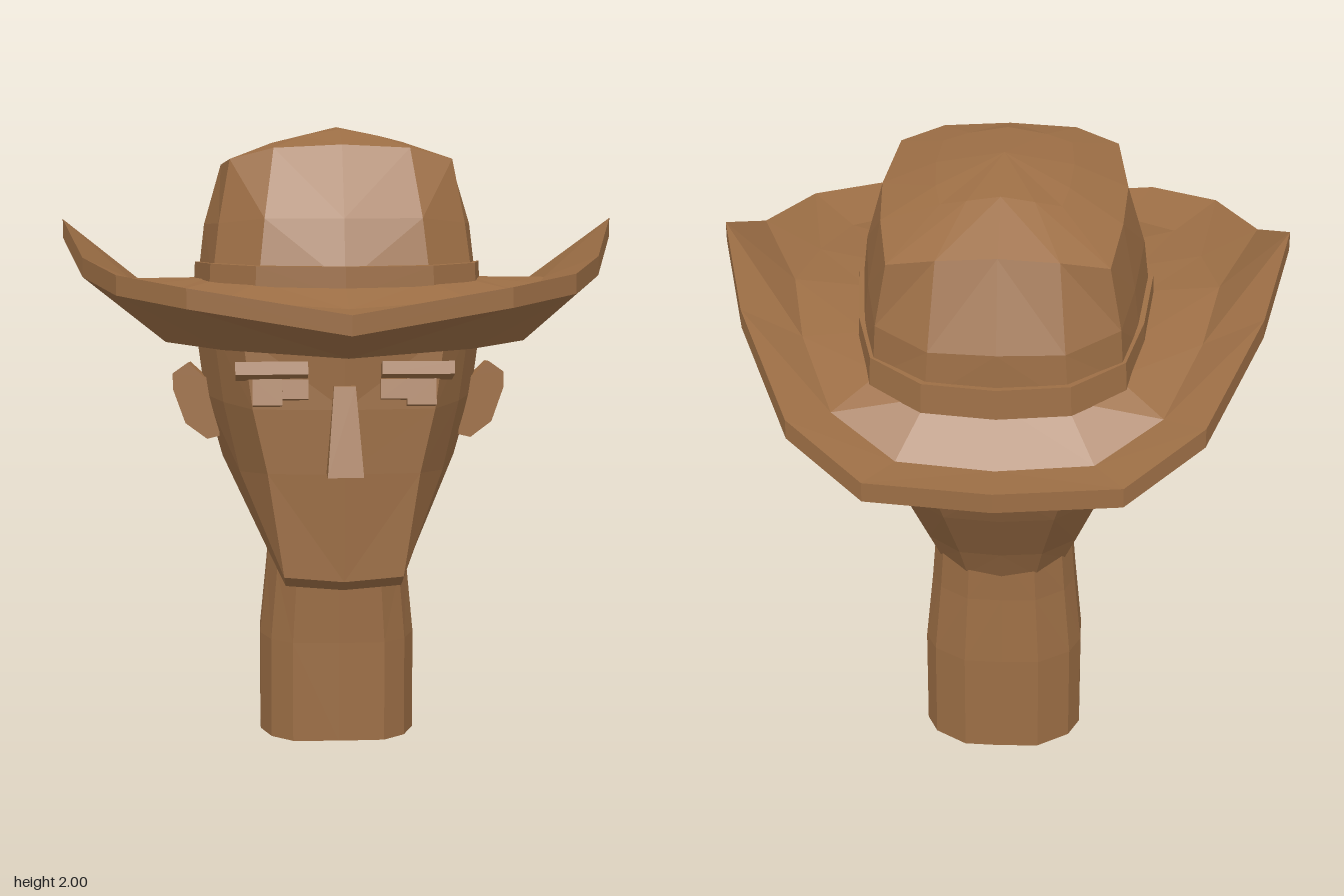
import * as THREE from 'three';

const material = new THREE.MeshStandardMaterial({ color: 0x9c6e45, flatShading: true });

// Half ring of [x, y, z] from front centre round the left side to back centre, mirrored to a full loop
function mirrorRing(half) {
  const right = half.slice(1, -1).reverse().map(([x, y, z]) => [-x, y, z]);
  return [...half, ...right];
}

// Skin through a list of half rings, optionally closed at either end by a centre point
function loft(name, halves, { bottom = null, top = null } = {}) {
  const rings = halves.map(mirrorRing);
  const n = rings[0].length;
  const points = rings.flat();
  const index = [];
  for (let r = 0; r < rings.length - 1; r++) {
    for (let i = 0; i < n; i++) {
      const j = (i + 1) % n;
      const a = r * n + i, b = r * n + j, c = b + n, d = a + n;
      // Split quads symmetrically on both sides
      if (i < n / 2) index.push(a, b, c, a, c, d);
      else index.push(a, b, d, b, c, d);
    }
  }
  const cap = (centre, start, up) => {
    points.push(centre);
    const k = points.length - 1;
    for (let i = 0; i < n; i++) {
      const a = start + i, b = start + (i + 1) % n;
      index.push(...(up ? [a, b, k] : [b, a, k]));
    }
  };
  const last = (rings.length - 1) * n;
  if (bottom) cap(bottom, 0, false);
  if (top) cap(top, last, true);
  const g = new THREE.BufferGeometry();
  g.setAttribute('position', new THREE.Float32BufferAttribute(points.flat(), 3));
  g.setIndex(index);
  return part(name, g);
}

function part(name, geometry) {
  const flat = geometry.index ? geometry.toNonIndexed() : geometry;
  flat.computeVertexNormals();
  const mesh = new THREE.Mesh(flat, material);
  mesh.name = name;
  return mesh;
}

function box(name, size, position, tilt) {
  const mesh = part(name, new THREE.BoxGeometry(...size));
  mesh.position.set(...position);
  mesh.rotation.x = tilt;
  return mesh;
}

// Neck: the same outline, narrowed and shifted at the top
function makeNeck() {
  const outline = [[0, 0.085], [0.15, 0.08], [0.22, 0.02], [0.255, -0.08], [0.255, -0.2], [0.22, -0.28], [0.12, -0.35], [0, -0.355]];
  const levels = [[0, 1, 0], [0.33, 1, 0], [0.56, 0.91, 0.01], [0.72, 0.86, 0.01]];
  return loft('neck', levels.map(([y, s, dz]) => outline.map(([x, z]) => [x * s, y, z + dz])), { bottom: [0, 0, -0.13] });
}

// Head: from under the jaw up into the hat
function makeHead() {
  return loft('head', [
    [[0, 0.575, 0.39], [0.18, 0.59, 0.39], [0.2, 0.61, 0.2], [0.215, 0.67, 0.03], [0.22, 0.68, -0.12], [0.2, 0.67, -0.25], [0.11, 0.65, -0.33], [0, 0.65, -0.345]],
    [[0, 0.61, 0.435], [0.185, 0.625, 0.43], [0.235, 0.68, 0.24], [0.25, 0.76, 0.06], [0.26, 0.76, -0.12], [0.235, 0.75, -0.27], [0.13, 0.76, -0.385], [0, 0.76, -0.4]],
    [[0, 0.95, 0.45], [0.235, 0.95, 0.43], [0.32, 0.93, 0.25], [0.375, 0.95, 0.05], [0.375, 0.95, -0.15], [0.31, 0.95, -0.35], [0.17, 0.95, -0.5], [0, 0.95, -0.52]],
    [[0, 1.15, 0.455], [0.28, 1.15, 0.43], [0.37, 1.15, 0.25], [0.43, 1.15, 0.05], [0.43, 1.15, -0.18], [0.37, 1.13, -0.41], [0.21, 1.11, -0.58], [0, 1.1, -0.605]],
    [[0, 1.38, 0.47], [0.31, 1.38, 0.42], [0.4, 1.38, 0.25], [0.46, 1.38, 0.05], [0.46, 1.36, -0.18], [0.41, 1.32, -0.42], [0.23, 1.27, -0.6], [0, 1.26, -0.625]],
    [[0, 1.47, 0.46], [0.3, 1.47, 0.4], [0.39, 1.47, 0.25], [0.44, 1.47, 0.05], [0.44, 1.45, -0.18], [0.39, 1.41, -0.42], [0.22, 1.37, -0.58], [0, 1.36, -0.6]],
  ], { bottom: [0, 0.63, 0.06], top: [0, 1.47, -0.1] });
}

// Brim: inner, middle and rim loops, each with a thickness below its upper surface
function makeBrim() {
  const inner = [[0, 1.54, 0.48], [0.26, 1.54, 0.43], [0.38, 1.54, 0.32], [0.42, 1.53, 0.14], [0.44, 1.52, -0.04], [0.41, 1.49, -0.32], [0.35, 1.45, -0.52], [0.2, 1.42, -0.62], [0, 1.41, -0.63]];
  const middle = [[0, 1.48, 0.7], [0.37, 1.5, 0.63], [0.54, 1.51, 0.49], [0.62, 1.52, 0.25], [0.67, 1.52, 0], [0.61, 1.46, -0.3], [0.49, 1.36, -0.61], [0.29, 1.27, -0.74], [0, 1.25, -0.75]];
  const rim = [[0, 1.48, 0.89], [0.47, 1.55, 0.79], [0.68, 1.575, 0.61], [0.8, 1.605, 0.28], [0.88, 1.71, 0], [0.79, 1.56, -0.33], [0.61, 1.385, -0.715], [0.375, 1.27, -0.875], [0, 1.25, -0.89]];
  const lower = (ring, d) => ring.map(([x, y, z]) => [x, y - d, z]);
  const under = middle.map(([x, y, z]) => [x, y - (z > 0.4 ? 0.145 : 0.1), z]);
  return loft('hatBrim', [lower(inner, 0.13), under, lower(rim, 0.06), rim, middle, inner]);
}

// Hat band: a strip standing slightly proud of the crown
function makeBand() {
  const base = [[0, 1.53, 0.53], [0.27, 1.53, 0.475], [0.41, 1.53, 0.35], [0.465, 1.51, -0.04], [0.435, 1.48, -0.33], [0.38, 1.45, -0.55], [0.22, 1.42, -0.66], [0, 1.41, -0.675]];
  const raise = (s, d) => base.map(([x, y, z]) => [x * s, y + d, z * s]);
  return loft('hatBand', [raise(1, -0.03), raise(0.99, 0.06), raise(0.93, 0.06)]);
}

// Crown: steep walls, a creased shoulder and a gently domed top
function makeCrown() {
  return loft('hatCrown', [
    [[0, 1.54, 0.5], [0.26, 1.54, 0.455], [0.4, 1.54, 0.335], [0.45, 1.52, -0.04], [0.42, 1.48, -0.33], [0.37, 1.45, -0.54], [0.21, 1.42, -0.64], [0, 1.42, -0.65]],
    [[0, 1.73, 0.435], [0.24, 1.73, 0.405], [0.38, 1.71, 0.29], [0.43, 1.69, -0.05], [0.4, 1.65, -0.33], [0.36, 1.61, -0.54], [0.2, 1.57, -0.63], [0, 1.57, -0.645]],
    [[0, 1.95, 0.29], [0.21, 1.94, 0.285], [0.345, 1.905, 0.235], [0.375, 1.88, -0.08], [0.36, 1.85, -0.31], [0.325, 1.8, -0.53], [0.18, 1.825, -0.555], [0, 1.835, -0.555]],
    [[0, 1.995, 0.12], [0.12, 1.975, 0.12], [0.2, 1.955, 0.1], [0.21, 1.95, -0.08], [0.2, 1.935, -0.24], [0.18, 1.915, -0.34], [0.1, 1.935, -0.36], [0, 1.95, -0.36]],
  ], { top: [0, 2, -0.12] });
}

// Nose: a box tapered to a narrow, shallow bridge
function makeNose() {
  const g = new THREE.BoxGeometry(0.11, 0.27, 0.12);
  const p = g.attributes.position;
  for (let i = 0; i < p.count; i++) {
    if (p.getY(i) > 0) {
      p.setX(i, p.getX(i) * 0.6);
      if (p.getZ(i) > 0) p.setZ(i, -0.01);
    }
  }
  const nose = part('nose', g);
  nose.position.set(0, 1.09, 0.485);
  return nose;
}

// Ear: a thin plate standing out from the side of the head
function makeEar() {
  const outline = [[0.38, 1.02], [0.42, 1.01], [0.49, 1.06], [0.53, 1.17], [0.53, 1.22], [0.48, 1.255], [0.43, 1.21], [0.38, 1.2]];
  const shape = new THREE.Shape(outline.map(([x, y]) => new THREE.Vector2(x, y)));
  const ear = part('ear', new THREE.ExtrudeGeometry(shape, { depth: 0.05, bevelEnabled: false }));
  ear.geometry.translate(-0.43, -1.13, -0.025);
  ear.position.set(0.43, 1.13, 0.07);
  ear.rotation.set(-0.06, 0.15, 0);
  return ear;
}

export function createModel() {
  const model = new THREE.Group();
  model.name = 'hattedHead';
  model.add(makeNeck(), makeHead(), makeBrim(), makeBand(), makeCrown(), makeNose());

  // Paired features, mirrored across the face
  for (const side of [1, -1]) {
    const features = new THREE.Group();
    features.name = side > 0 ? 'leftFeatures' : 'rightFeatures';
    features.add(
      makeEar(),
      box('eye', [0.09, 0.08, 0.06], [0.235, 1.2, 0.435], -0.25),
      box('eyeInner', [0.08, 0.06, 0.05], [0.15, 1.21, 0.44], -0.25),
      box('brow', [0.22, 0.04, 0.1], [0.222, 1.27, 0.45], -0.3),
    );
    features.scale.x = side;
    model.add(features);
  }
  return model;
}
